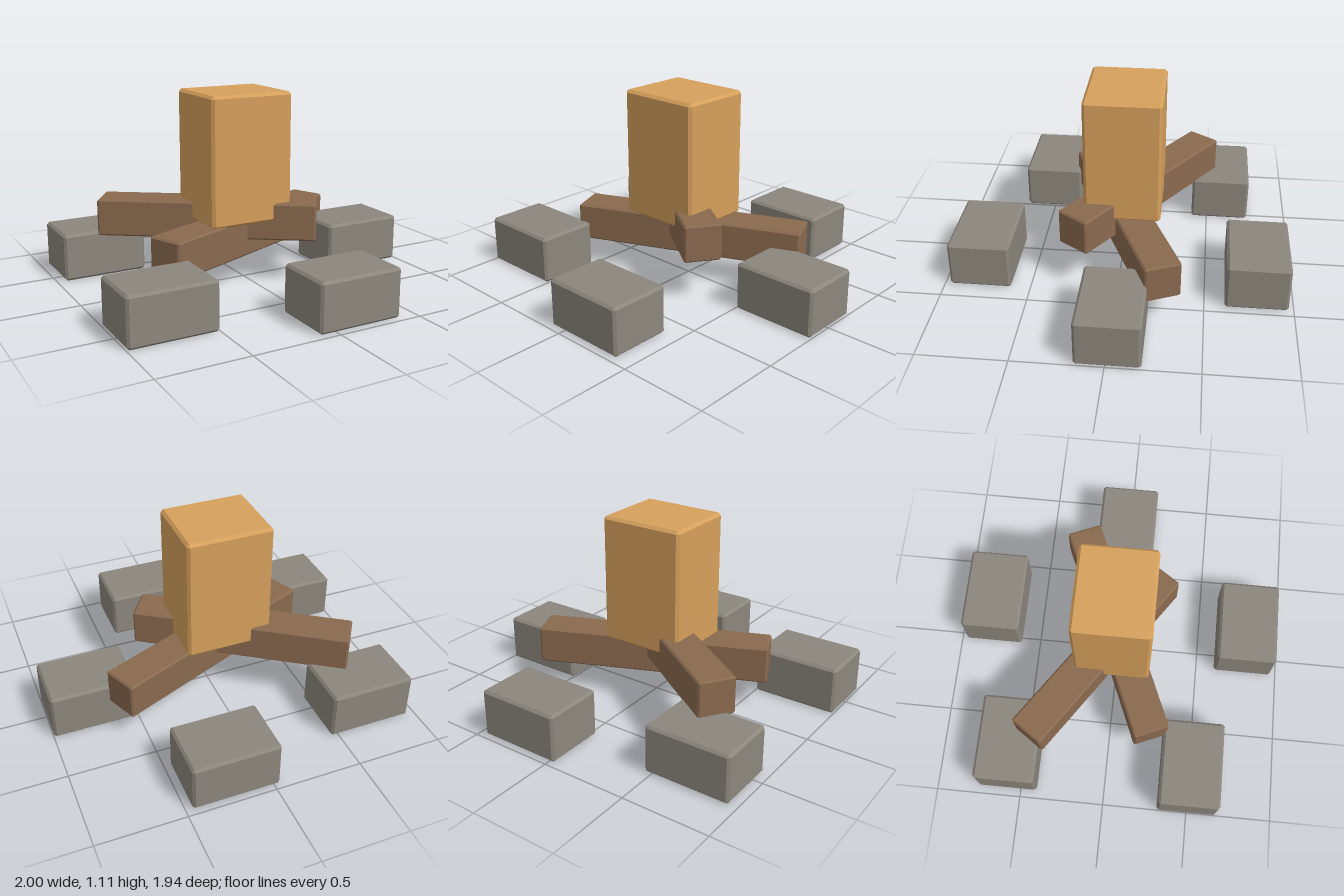
import * as THREE from 'three';
import { ConvexGeometry } from 'three/addons/geometries/ConvexGeometry.js';

const material = (name, color) => {
  const m = new THREE.MeshStandardMaterial({ color });
  m.name = name;
  return m;
};

// Box with one flat chamfer along every edge, centred on the origin
function chamferedBox(w, h, d, c) {
  const points = [];
  for (const x of [-1, 1]) for (const y of [-1, 1]) for (const z of [-1, 1]) {
    for (let axis = 0; axis < 3; axis++) {
      const p = [w / 2 - c, h / 2 - c, d / 2 - c];
      p[axis] += c;
      points.push(new THREE.Vector3(x * p[0], y * p[1], z * p[2]));
    }
  }
  return new ConvexGeometry(points);
}

export function createModel() {
  const group = new THREE.Group();
  const stoneGrey = material('stone grey', 0x8c877d);
  const barkBrown = material('bark brown', 0x8a6a4f);
  const flameOrange = material('flame orange', 0xd6a05c);

  const add = (name, geometry, mat, x, y, z, turn = 0) => {
    const mesh = new THREE.Mesh(geometry, mat);
    mesh.name = name;
    mesh.position.set(x, y, z);
    mesh.rotation.y = turn;
    group.add(mesh);
  };

  // Ring of stones
  const stone = chamferedBox(0.495, 0.275, 0.355, 0.014);
  [[-0.705, -0.58], [0.214, -0.793], [0.75, -0.013], [-0.75, 0.5], [0.152, 0.789]]
    .forEach(([x, z], i) => add(`stone${i + 1}`, stone, stoneGrey, x, 0.1375, z));

  // Two crossed logs
  add('upperLog', chamferedBox(1.262, 0.215, 0.21, 0.01), barkBrown, -0.18, 0.367, -0.103, -0.602);
  add('lowerLog', chamferedBox(1.348, 0.215, 0.21, 0.01), barkBrown, 0.006, 0.273, -0.012, 0.401);

  // Flame block
  add('flame', chamferedBox(0.5, 0.735, 0.435, 0.016), flameOrange, -0.05, 0.739, -0.013);

  return group;
}
